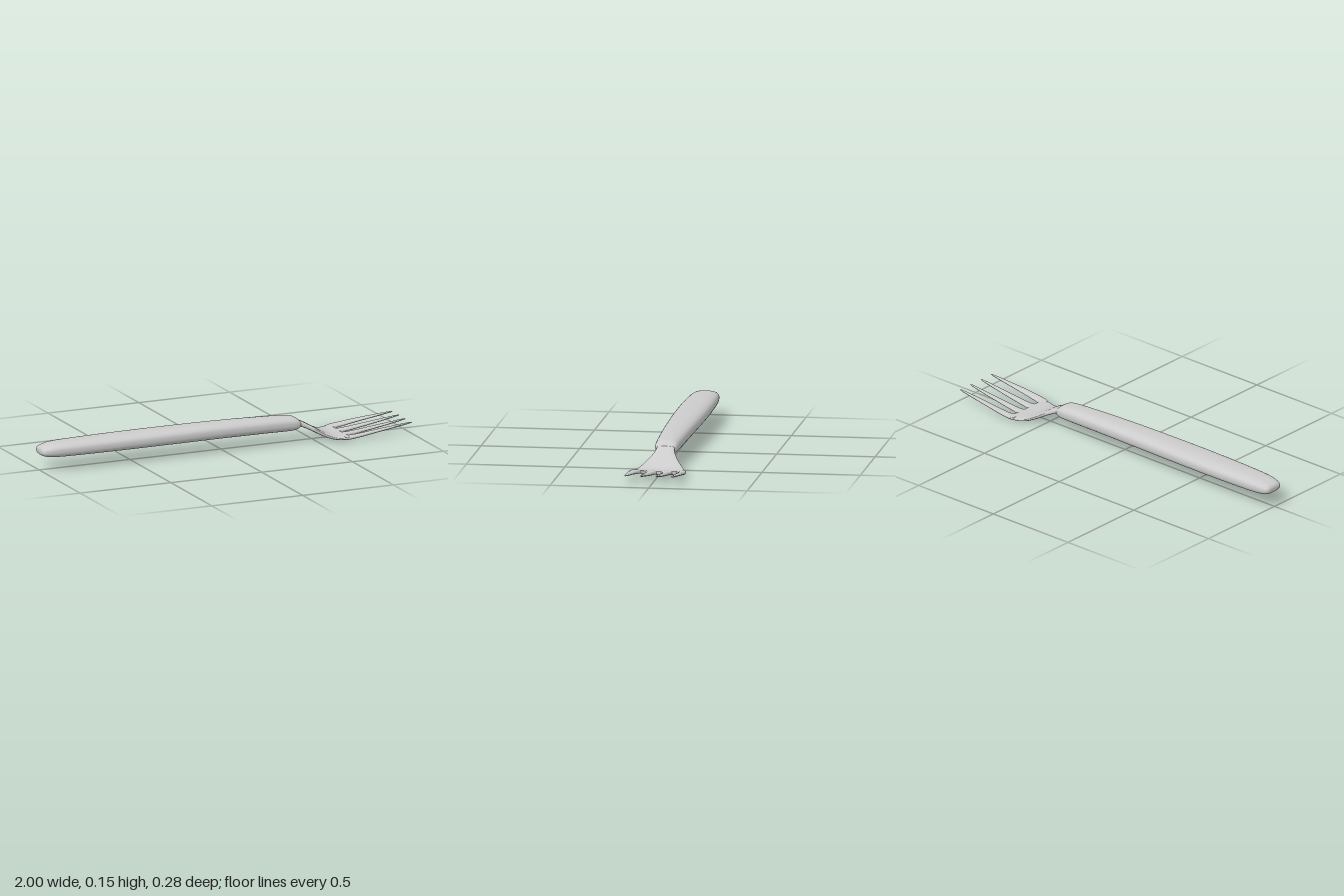
import * as THREE from 'three';

const material = new THREE.MeshStandardMaterial({ color: 0xcccccc, roughness: 0.6 });

// Smooth curve through [x, value] pairs
function profile(points) {
  const n = points.length;
  const slope = points.map((p, i) => {
    const a = points[Math.max(i - 1, 0)], b = points[Math.min(i + 1, n - 1)];
    return (b[1] - a[1]) / (b[0] - a[0]);
  });
  return (x) => {
    let i = 0;
    while (i < n - 2 && x > points[i + 1][0]) i++;
    const [x0, v0] = points[i], [x1, v1] = points[i + 1];
    const d = x1 - x0, t = THREE.MathUtils.clamp((x - x0) / d, 0, 1), s = 1 - t;
    return v0 * (1 + 2 * t) * s * s + slope[i] * d * t * s * s
      + v1 * t * t * (3 - 2 * t) - slope[i + 1] * d * t * t * s;
  };
}

// Loft along x through rounded sections [x, zLow, zHigh, yLow, yHigh, squareness]
function loft(name, sections, bend = () => 0, sides = 32, steps = 5) {
  const channel = (k) => profile(sections.map((s) => [s[0], s[k]]));
  const [zLow, zHigh, yLow, yHigh, square] = [1, 2, 3, 4, 5].map(channel);
  const xs = [];
  sections.forEach((s, i) => {
    if (i) for (let k = 1; k <= steps; k++) xs.push(THREE.MathUtils.lerp(sections[i - 1][0], s[0], k / steps));
    else xs.push(s[0]);
  });
  const pos = [], index = [];
  const put = (x, y, z) => pos.push(x, y + bend(x, z), z);
  const round = (v, e) => Math.sign(v) * Math.abs(v) ** (2 / e);
  for (const x of xs) {
    const zc = (zLow(x) + zHigh(x)) / 2, zr = (zHigh(x) - zLow(x)) / 2;
    const yc = (yLow(x) + yHigh(x)) / 2, yr = (yHigh(x) - yLow(x)) / 2;
    for (let j = 0; j < sides; j++) {
      const a = (j / sides) * Math.PI * 2;
      put(x, yc + yr * round(Math.sin(a), square(x)), zc + zr * round(Math.cos(a), square(x)));
    }
  }
  const last = (xs.length - 1) * sides, pole = xs.length * sides;
  for (const x of [xs[0], xs[xs.length - 1]]) put(x, (yLow(x) + yHigh(x)) / 2, (zLow(x) + zHigh(x)) / 2);
  for (let j = 0; j < sides; j++) {
    const k = (j + 1) % sides;
    for (let r = 0; r < last; r += sides) {
      index.push(r + j, r + sides + j, r + sides + k, r + j, r + sides + k, r + k);
    }
    index.push(pole, j, k, pole + 1, last + k, last + j);
  }
  const geometry = new THREE.BufferGeometry();
  geometry.setAttribute('position', new THREE.Float32BufferAttribute(pos, 3));
  geometry.setIndex(index);
  geometry.computeVertexNormals();
  const mesh = new THREE.Mesh(geometry, material);
  mesh.name = name;
  return mesh;
}

export function createModel() {
  const group = new THREE.Group();
  group.name = 'fork';

  // Thick rounded handle: x, half width, bottom, top
  const handle = [
    [-1, 0.04, 0.088, 0.108], [-0.992, 0.052, 0.078, 0.119], [-0.97, 0.062, 0.071, 0.128],
    [-0.93, 0.07, 0.066, 0.136], [-0.85, 0.076, 0.064, 0.14], [-0.6, 0.082, 0.063, 0.144],
    [-0.3, 0.08, 0.063, 0.146], [0, 0.073, 0.063, 0.145], [0.25, 0.065, 0.061, 0.139],
    [0.36, 0.06, 0.059, 0.134], [0.395, 0.057, 0.061, 0.128], [0.415, 0.051, 0.068, 0.117],
    [0.424, 0.042, 0.078, 0.107],
  ].map(([x, w, lo, hi]) => [x, -w, w, lo, hi, 2.6]);
  group.add(loft('handle', handle, undefined, 40));

  // Sweep of the head in side view, with a slight cupping across its width
  const sweep = profile([[0.4, 0.097], [0.43, 0.09], [0.48, 0.066], [0.53, 0.038], [0.57, 0.02],
    [0.61, 0.012], [0.66, 0.014], [0.72, 0.02], [0.8, 0.031], [0.9, 0.045], [1, 0.06]]);
  const cup = (x, z) => 0.4 * z * z * Math.sin(Math.PI * THREE.MathUtils.clamp((x - 0.5) / 0.5, 0, 1));
  const bend = (x, z) => sweep(x) + cup(x, z);

  // Neck flaring into the palm of the head: x, half width, half thickness
  const palm = [
    [0.4, 0.045, 0.016], [0.43, 0.046, 0.015], [0.46, 0.053, 0.014], [0.5, 0.071, 0.013],
    [0.55, 0.1, 0.012], [0.6, 0.124, 0.011], [0.64, 0.136, 0.011], [0.655, 0.138, 0.01],
    [0.66, 0.136, 0.007],
  ].map(([x, w, h]) => [x, -w, w, -h, h, 3]);
  group.add(loft('neckAndPalm', palm, bend, 48));

  // Four tapering tines: x, inner tine edges, outer tine edges, half thickness, squareness
  const tines = [
    [0.63, 0, 0.078, 0.078, 0.131, 0.008, 5], [0.65, 0.001, 0.077, 0.079, 0.138, 0.0095, 4],
    [0.66, 0.011, 0.068, 0.089, 0.14, 0.01, 3], [0.68, 0.018, 0.061, 0.096, 0.142, 0.01, 2.6],
    [0.72, 0.021, 0.058, 0.1, 0.142, 0.0095, 2.4], [0.8, 0.024, 0.055, 0.104, 0.138, 0.008, 2.3],
    [0.9, 0.029, 0.051, 0.108, 0.131, 0.006, 2.2], [0.97, 0.032, 0.047, 0.111, 0.126, 0.004, 2],
    [0.994, 0.035, 0.044, 0.114, 0.122, 0.0025, 2], [1, 0.038, 0.041, 0.117, 0.12, 0.001, 2],
  ];
  for (const side of [-1, 1]) {
    for (const [name, k] of [['InnerTine', 1], ['OuterTine', 3]]) {
      const sections = tines.map((t) => {
        const [lo, hi] = side > 0 ? [t[k], t[k + 1]] : [-t[k + 1], -t[k]];
        return [t[0], lo, hi, -t[5], t[5], t[6]];
      });
      group.add(loft((side > 0 ? 'front' : 'back') + name, sections, bend, 20));
    }
  }
  return group;
}
